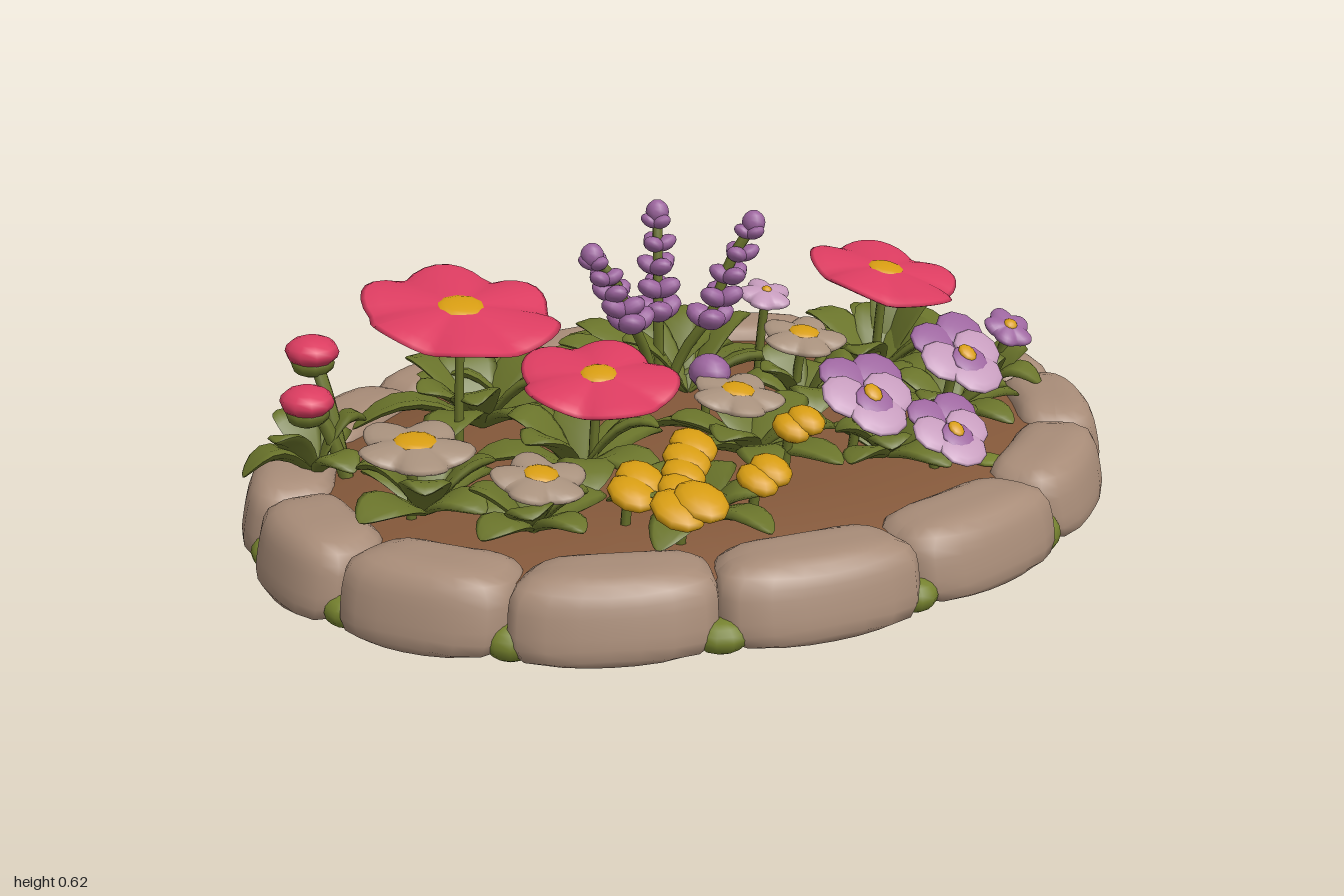
import * as THREE from 'three';

const mat = (name, color) => {
  const m = new THREE.MeshStandardMaterial({ color });
  m.name = name;
  return m;
};

export function createModel() {
  const M = {
    soil: mat('soil brown', 0x84583a), stone: mat('warm stone', 0xa88c78), leaf: mat('leaf green', 0x6a742b),
    moss: mat('moss green', 0x75812e), pink: mat('petal pink', 0xdb3c60), yellow: mat('petal yellow', 0xd69c12),
    purple: mat('petal purple', 0x9c659e), lilac: mat('petal lilac', 0xc49abb), cream: mat('petal cream', 0xa8917d),
  };
  let seed = 7;
  const rnd = (a, b) => {
    seed = (seed * 16807) % 2147483647;
    return a + (b - a) * (seed / 2147483647);
  };
  const TAU = Math.PI * 2;
  const root = new THREE.Group();
  root.name = 'flowerBed';
  const group = (name, parent = root) => {
    const g = new THREE.Group();
    g.name = name;
    parent.add(g);
    return g;
  };
  const add = (parent, name, geo, material) => {
    const m = new THREE.Mesh(geo, material);
    m.name = name;
    parent.add(m);
    return m;
  };
  // Moves every vertex of a geometry by a rule
  const warp = (geo, rule) => {
    const p = geo.attributes.position, v = new THREE.Vector3();
    for (let i = 0; i < p.count; i++) {
      rule(v.fromBufferAttribute(p, i));
      p.setXYZ(i, v.x, v.y, v.z);
    }
    geo.computeVertexNormals();
    return geo;
  };
  const blob = (parent, name, material, pos, scale) => {
    const m = add(parent, name, new THREE.SphereGeometry(1, 10, 8), material);
    m.position.set(...pos);
    m.scale.set(...scale);
    return m;
  };
  const stem = (parent, from, to, r = 0.011) => {
    const a = new THREE.Vector3(...from), b = new THREE.Vector3(...to);
    const mid = a.clone().lerp(b, 0.5);
    mid.y += 0.03;
    add(parent, 'stem', new THREE.TubeGeometry(new THREE.CatmullRomCurve3([a, mid, b]), 6, r, 6), M.leaf);
  };

  // Soil: shallow mound with a closed underside
  const soilPts = [[0, 0.006], [0.9, 0.006], [0.9, 0.12], [0.5, 0.138], [0, 0.145]].map(p => new THREE.Vector2(...p));
  add(root, 'soil', new THREE.LatheGeometry(soilPts, 48), M.soil).scale.z = 0.77;

  // Ring of fourteen cushion-shaped stones, with moss low in the seams
  const stones = group('stoneBorder'), mosses = group('moss');
  const N = 14, step = TAU / N;
  for (let i = 0; i < N; i++) {
    const t0 = (i + 0.5) * step, top = rnd(0.076, 0.084), skew = rnd(-0.012, 0.012);
    add(stones, 'stone', warp(new THREE.SphereGeometry(1, 24, 16), v => {
      v.multiplyScalar(Math.pow(v.x ** 4 + v.y ** 4 + v.z ** 4, -0.25));
      const t = t0 + v.x * step * 0.505;
      const r = v.z * 0.096 * (1 - 0.1 * v.y) - 0.01 * v.y + skew * v.x;
      const y = Math.max(0, 0.077 + (v.y > 0 ? top : 0.095) * v.y);
      v.set((0.897 + r) * Math.sin(t), y, (0.695 + r) * Math.cos(t));
    }), M.stone);
    const s = i * step, w = rnd(0.045, 0.06);
    const tuft = blob(mosses, 'mossTuft', M.moss, [0.945 * Math.sin(s), 0.026, 0.745 * Math.cos(s)], [w, rnd(0.03, 0.05), 0.042]);
    tuft.rotation.y = s;
  }
  for (const [x, z] of [[0, -0.54], [0.42, 0.5], [0.4, -0.5]])
    blob(mosses, 'mossPatch', M.moss, [x, 0.131, z], [0.035, 0.01, 0.035]);

  // Arched spoon-shaped leaf with a slight fold along its rib
  const leaf = (parent, x, z, angle, len, width, rise, droop) => {
    const m = add(parent, 'leaf', warp(new THREE.SphereGeometry(1, 8, 10), v => {
      const t = (v.y + 1) / 2, side = -v.x * width * (0.6 + 0.8 * t - 0.65 * t ** 4);
      v.set(side, v.z * 0.014 + Math.abs(side) * 0.18 + rise * Math.sin(t * droop), t * len);
    }), M.leaf);
    m.position.set(x, 0.138, z);
    m.rotation.set(0, angle, rnd(-0.2, 0.2), 'YXZ');
  };
  // Clumps of low outer and raised inner leaves: [x, z, leaves, length, half width, rise, first angle, last angle]
  const leaves = group('leaves');
  for (const [x, z, n, len, w, rise, a0, a1] of [
    [-0.36, -0.28, 12, 0.27, 0.062, 0.12, 0, TAU],
    [-0.26, -0.3, 6, 0.2, 0.055, 0.09, 1, 4.5],
    [0.08, -0.26, 13, 0.31, 0.05, 0.11, 1.2, 5.2],
    [0.14, -0.2, 9, 0.24, 0.045, 0.14, 1, 5],
    [0.57, -0.04, 13, 0.26, 0.062, 0.11, 0, TAU],
    [0.6, -0.06, 5, 0.2, 0.05, 0.19, 0.9, 3],
    [-0.78, -0.24, 6, 0.15, 0.05, 0.1, 0, TAU],
    [-0.7, 0.08, 8, 0.18, 0.055, 0.09, 0, TAU],
    [-0.57, 0.27, 8, 0.16, 0.05, 0.07, 0, TAU],
    [-0.34, 0.08, 9, 0.22, 0.055, 0.11, 0, TAU],
    [-0.28, 0.42, 10, 0.19, 0.05, 0.07, 0, TAU],
    [0.02, 0.2, 11, 0.23, 0.055, 0.08, 0, TAU],
    [0.25, 0.37, 8, 0.17, 0.05, 0.06, 0, TAU],
    [0.29, 0.03, 7, 0.17, 0.05, 0.11, 0, TAU],
    [0.53, 0.26, 9, 0.18, 0.05, 0.07, 0, TAU],
    [0.76, 0.15, 6, 0.13, 0.045, 0.07, 0, TAU],
  ]) for (let i = 0; i < n; i++) {
    const inner = i % 2;
    leaf(leaves, x, z, a0 + (a1 - a0) * (i + rnd(0, 0.5)) / n, len * rnd(0.88, 1.08) * (inner ? 0.75 : 1), w * rnd(0.85, 1.1),
      rise * (inner ? 1.1 : 0.6), inner ? rnd(1.6, 2.1) : rnd(2.1, 2.8));
  }

  // Open flower made from a lobed, rippled disc with a flat centre
  const flower = (name, material, [x, y, z], r, lobes, depth, tilt, eye = 0.25) => {
    const g = group(name);
    stem(g, [x, 0.12, z - 0.03], [x, y - 0.01, z]);
    const head = group('head', g);
    head.position.set(x, y, z);
    head.rotation.set(tilt, 0, rnd(-0.08, 0.08));
    const turn = rnd(0, TAU);
    add(head, 'petals', warp(new THREE.SphereGeometry(1, 48, 10), v => {
      const a = Math.atan2(v.z, v.x), d = Math.hypot(v.x, v.z);
      const lobe = Math.abs(Math.cos((a + turn) * lobes / 2));
      const k = r * (1 - depth * (1 - Math.pow(lobe, 0.8)) * d) * (1 + 0.04 * Math.sin(2 * a + turn));
      v.set(v.x * k, v.y * 0.017 + r * d * d * (0.12 * lobe - 0.08), v.z * k);
    }), material);
    blob(head, 'centre', M.yellow, [0, 0.012, 0], [r * eye, 0.012, r * eye * 0.95]);
  };
  flower('largePinkFlower', M.pink, [-0.49, 0.465, -0.125], 0.208, 6, 0.13, 0.2);
  flower('smallPinkFlower', M.pink, [-0.32, 0.355, 0.13], 0.163, 5, 0.14, 0.2);
  flower('rightPinkFlower', M.pink, [0.5, 0.425, 0.06], 0.175, 5, 0.13, 0.2);
  for (const [x, y, z, r, tilt] of [[-0.72, 0.285, 0.09, 0.122, 0.12], [-0.56, 0.245, 0.29, 0.1, 0.2],
    [0.04, 0.245, 0.12, 0.105, 0.2], [0.3, 0.3, 0.02, 0.1, 0.2], [-0.3, 0.235, -0.48, 0.1, -0.15]])
    flower('creamFlower', M.cream, [x, y, z], r, 5, 0.3, tilt, 0.37);
  flower('lilacFlower', M.lilac, [0.3, 0.365, -0.12], 0.065, 5, 0.3, 0.3, 0.2);
  flower('purpleFlower', M.purple, [0.8, 0.265, 0.16], 0.06, 5, 0.25, 0.55, 0.3);

  // Round buds
  const buds = group('buds');
  for (const [x, y, z] of [[-0.74, 0.38, -0.31], [-0.79, 0.3, -0.24]]) {
    stem(buds, [-0.72, 0.12, -0.22], [x, y, z], 0.015);
    blob(buds, 'budBase', M.leaf, [x, y - 0.025, z], [0.046, 0.03, 0.046]);
    blob(buds, 'bud', M.pink, [x, y, z], [0.055, 0.032, 0.062]);
  }
  stem(buds, [0.04, 0.12, 0], [0.04, 0.26, 0.02]);
  blob(buds, 'purpleBud', M.purple, [0.04, 0.27, 0.02], [0.045, 0.04, 0.05]);

  // Small yellow flowers, each a few overlapping rounded petals: [x, y, z, radius]
  const yellows = group('yellowFlowers');
  for (const [x, y, z, r] of [[-0.4, 0.225, 0.37, 0.055], [-0.36, 0.215, 0.5, 0.062], [-0.32, 0.225, 0.42, 0.05], [-0.25, 0.25, 0.36, 0.055],
    [-0.18, 0.235, 0.49, 0.048], [0.01, 0.26, 0.35, 0.045]]) {
    stem(yellows, [x, 0.12, z - 0.03], [x, y, z]);
    for (const s of [-1, 1])
      blob(yellows, 'yellowPetal', M.yellow, [x + s * r * 0.35, y + s * 0.006, z + s * r * rnd(-0.5, 0.5)], [r * 0.85, 0.024, r]).rotation.x = 0.3;
  }

  // Two-tone flowers facing forward: lilac face with purple petals behind its upper left
  for (const [x, y, z, s, turn] of [[0.2, 0.275, 0.36, 1, -0.15], [0.3, 0.22, 0.51, 0.85, -0.05], [0.53, 0.28, 0.29, 1, 0.1]]) {
    const g = group('twoToneFlower');
    stem(g, [x, 0.12, z - 0.05], [x, y - 0.02, z - 0.01]);
    const head = group('head', g);
    head.position.set(x, y, z);
    head.rotation.set(0.62, turn, 0);
    head.scale.setScalar(s);
    blob(head, 'upperPetal', M.purple, [0.06, -0.01, -0.065], [0.062, 0.015, 0.06]);
    blob(head, 'upperPetal', M.purple, [-0.025, -0.01, -0.07], [0.058, 0.014, 0.05]);
    for (const side of [-1, 1])
      blob(head, 'sidePetal', M.lilac, [side * 0.052, 0.004, -0.005], [0.058, 0.014, 0.056]);
    blob(head, 'lowerPetal', M.lilac, [0, 0.008, 0.052], [0.068, 0.014, 0.055]);
    blob(head, 'blotch', M.purple, [0, 0.016, 0.02], [0.045, 0.01, 0.042]);
    blob(head, 'centre', M.yellow, [0, 0.024, 0.005], [0.02, 0.01, 0.024]);
  }

  // Flower spikes with chunky whorls of florets along a leaning stem
  for (const [low, high] of [[[-0.05, 0.36, -0.15], [-0.13, 0.51, -0.18]], [[0.05, 0.36, -0.19], [0.07, 0.57, -0.22]],
    [[0.13, 0.35, -0.1], [0.21, 0.56, -0.05]]]) {
    const g = group('purpleSpike');
    const a = new THREE.Vector3(...low), b = new THREE.Vector3(...high);
    stem(g, [0.06, 0.12, -0.2], low, 0.012);
    stem(g, low, high, 0.012);
    for (let i = 0; i < 5; i++) {
      const c = a.clone().lerp(b, i / 4.3), r = 0.042 * (1 - i * 0.09);
      for (let j = 0; j < 3; j++) {
        const an = (j * TAU) / 3 + i * 0.9;
        const f = blob(g, 'floret', M.purple, [c.x + r * 0.55 * Math.cos(an), c.y, c.z + r * 0.55 * Math.sin(an)], [r * 0.9, r * 0.55, r * 0.75]);
        f.rotation.set(0, -an, 0.5);
      }
    }
    blob(g, 'spikeTip', M.purple, [b.x, b.y + 0.005, b.z], [0.026, 0.028, 0.026]);
  }
  return root;
}
